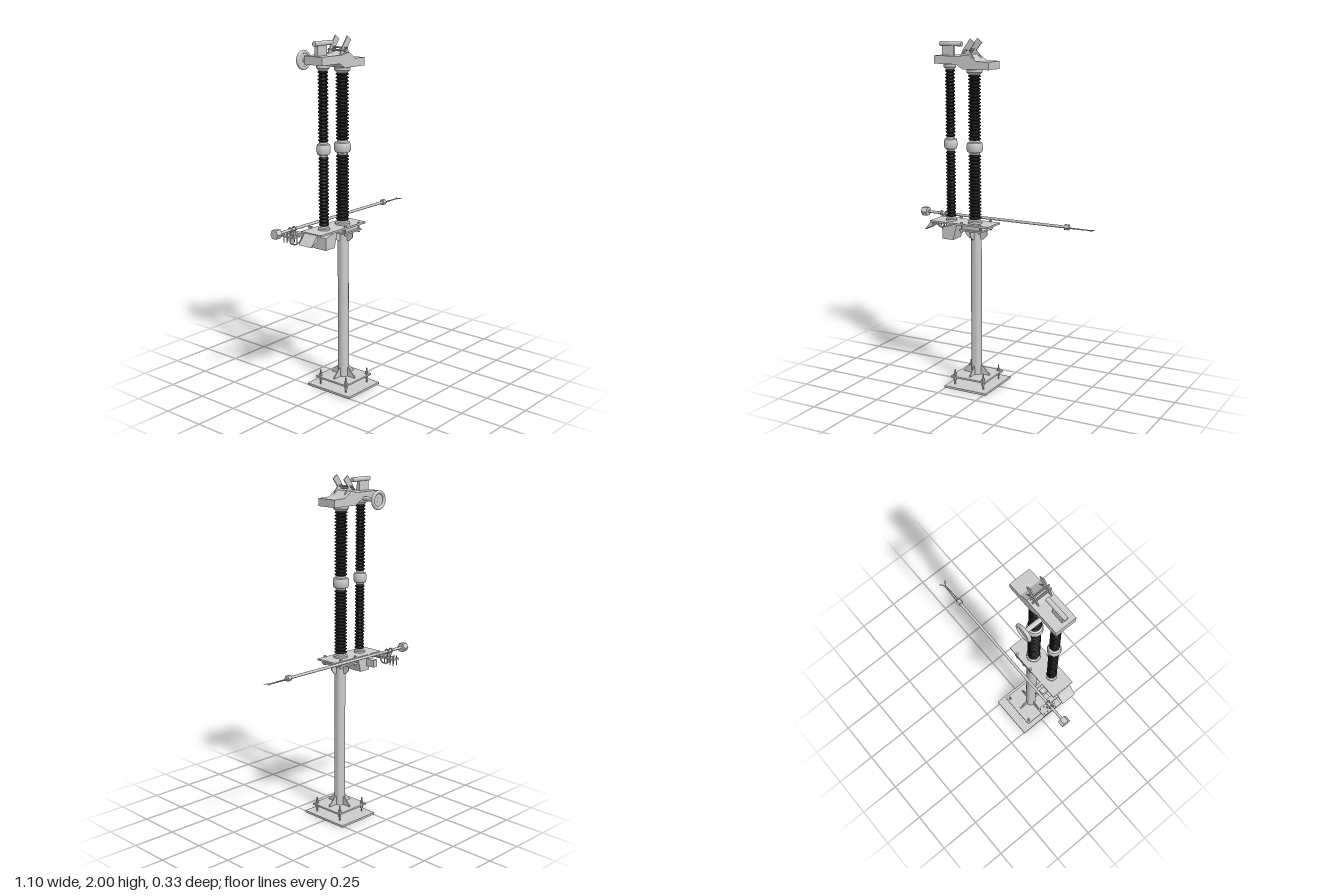
import * as THREE from 'three';
import { toCreasedNormals } from 'three/addons/utils/BufferGeometryUtils.js';

const grey = new THREE.MeshStandardMaterial({ color: 0xcccccc, side: THREE.DoubleSide });
const dark = new THREE.MeshStandardMaterial({ color: 0x1a1a1a, side: THREE.DoubleSide });
const CX = -0.124, CZ = 0.014; // column axis

export function createModel() {
  const root = new THREE.Group();

  function add(name, geo, x = 0, y = 0, z = 0, mat = grey) {
    const m = new THREE.Mesh(geo, mat);
    m.name = name;
    m.position.set(x, y, z);
    root.add(m);
    return m;
  }
  // box from its min and max corners
  const box = (name, x0, x1, y0, y1, z0, z1) =>
    add(name, new THREE.BoxGeometry(x1 - x0, y1 - y0, z1 - z0), (x0 + x1) / 2, (y0 + y1) / 2, (z0 + z1) / 2);
  // cylinder of length len centred at x, y, z along an axis
  function rod(name, r, len, x, y, z, axis = 'y', sides = 16, r2 = r) {
    const g = new THREE.CylinderGeometry(r2, r, len, sides);
    if (axis === 'x') g.rotateZ(-Math.PI / 2);
    if (axis === 'z') g.rotateX(Math.PI / 2);
    return add(name, toCreasedNormals(g, 0.7), x, y, z);
  }
  function lathe(name, pts, x, y, z, mat = grey, seg = 20) {
    const g = new THREE.LatheGeometry(pts.map(p => new THREE.Vector2(p[0], p[1])), seg);
    return add(name, toCreasedNormals(g, 0.6), x, y, z, mat);
  }
  // outline in x, y extruded between z0 and z1
  function slab(name, pts, z0, z1) {
    const s = new THREE.Shape(pts.map(p => new THREE.Vector2(p[0], p[1])));
    return add(name, new THREE.ExtrudeGeometry(s, { depth: z1 - z0, bevelEnabled: false }), 0, 0, z0);
  }
  // four triangular ribs around the column
  function gussets(name, pts) {
    for (let i = 0; i < 4; i++) {
      const g = slab(name, pts, -0.003, 0.003);
      g.geometry.translate(0, 0, -0.003);
      g.position.set(CX, 0, CZ);
      g.rotation.y = i * Math.PI / 2;
    }
  }

  // foot
  box('basePlate', -0.255, 0.015, 0, 0.012, -0.146, 0.164);
  box('footFlange', -0.235, -0.01, 0.054, 0.064, -0.098, 0.125);
  for (const x of [-0.216, -0.03]) for (const z of [-0.08, 0.109]) {
    rod('anchorBolt', 0.004, 0.09, x, 0.055, z, 'y', 8);
    rod('anchorNutLower', 0.009, 0.02, x, 0.044, z, 'y', 6);
    rod('anchorNutUpper', 0.009, 0.016, x, 0.072, z, 'y', 6, 0.007);
    rod('anchorWasher', 0.011, 0.003, x, 0.0655, z, 'y', 12);
  }
  gussets('footGusset', [[0.028, 0.064], [0.085, 0.064], [0.085, 0.07], [0.04, 0.115], [0.028, 0.115]]);

  // column and head bracket
  rod('column', 0.031, 0.87, CX, 0.495, CZ, 'y', 24);
  gussets('headGusset', [[0.028, 0.875], [0.045, 0.875], [0.07, 0.9], [0.07, 0.93], [0.028, 0.93]]);
  box('columnHeadPlate', -0.195, -0.053, 0.927, 0.936, -0.056, 0.088);
  for (const z of [-0.04, 0.06]) box('headSpacer', -0.187, -0.06, 0.936, 0.957, z, z + 0.012);
  for (const x of [-0.182, -0.066]) for (const z of [-0.05, 0.079]) {
    rod('platformBolt', 0.004, 0.06, x, 0.947, z, 'y', 8);
    rod('platformNut', 0.008, 0.008, x, 0.923, z, 'y', 6);
    rod('platformNut', 0.008, 0.008, x, 0.97, z, 'y', 6);
  }

  // platform carrying the insulators
  box('platform', -0.39, -0.01, 0.956, 0.966, -0.058, 0.082);

  // drive housing below the platform, with an open end bracket
  slab('driveHousing', [[-0.322, 0.862], [-0.25, 0.862], [-0.225, 0.956], [-0.322, 0.93]], -0.03, 0.06);
  slab('endHood', [[-0.44, 0.905], [-0.432, 0.905], [-0.385, 0.95], [-0.385, 0.962], [-0.392, 0.962]], -0.03, 0.06);
  for (const z of [-0.03, 0.056])
    slab('hoodCheek', [[-0.44, 0.905], [-0.385, 0.93], [-0.385, 0.962], [-0.392, 0.962]], z, z + 0.004);

  // insulator columns: two shed stacks with a joint between
  function insulator(name, x, r, y0, y1, y2, y3, ballR) {
    const z = 0.016;
    for (const [a, b] of [[y0, y1], [y2, y3]]) {
      const n = 20, p = (b - a) / n, pts = [[0, a]];
      for (let i = 0; i < n; i++) {
        const y = a + i * p;
        pts.push([r * 0.72, y], [r, y + p * 0.35], [r, y + p * 0.5], [r * 0.72, y + p * 0.9]);
      }
      pts.push([0, b]);
      lathe(name + 'Sheds', pts, x, 0, z, dark);
    }
    const m = (y1 + y2) / 2, h = (y2 - y1) / 2;
    lathe(name + 'Joint', [[0, -h], [r * 0.8, -h], [r * 0.85, -h * 0.75], [ballR * 0.9, -h * 0.65], [ballR, -h * 0.3],
      [ballR, h * 0.3], [ballR * 0.9, h * 0.65], [r * 0.85, h * 0.75], [r * 0.8, h], [0, h]], x, m, z);
    lathe(name + 'Foot', [[0, 0.966], [r * 1.15, 0.966], [r * 1.15, 0.976], [r * 0.85, 0.98], [r * 0.8, y0 + 0.004], [0, y0 + 0.004]], x, 0, z);
    lathe(name + 'Cap', [[0, y3 - 0.003], [r * 0.85, y3 - 0.003], [r * 1.25, y3 + 0.012], [r * 1.25, y3 + 0.025],
      [r * 0.9, y3 + 0.036], [0, y3 + 0.036]], x, 0, z);
  }
  insulator('mainInsulator', -0.13, 0.036, 0.988, 1.36, 1.44, 1.806, 0.046);
  insulator('driveInsulator', -0.286, 0.028, 0.988, 1.37, 1.45, 1.83, 0.038);

  // live head: stepped terminal body
  slab('headBody', [[-0.355, 1.86], [-0.215, 1.86], [-0.175, 1.835], [-0.01, 1.835], [-0.01, 1.878],
    [-0.09, 1.88], [-0.14, 1.915], [-0.195, 1.905], [-0.355, 1.905]], -0.053, 0.073);
  slab('headPost', [[-0.333, 1.905], [-0.26, 1.905], [-0.26, 1.958], [-0.333, 1.958]], 0.002, 0.022);
  rod('headBar', 0.013, 0.138, -0.28, 1.968, 0.012, 'x');
  for (const z of [-0.03, 0.052])
    slab('hornPlate', [[-0.205, 1.89], [-0.1, 1.885], [-0.14, 1.935], [-0.105, 1.978], [-0.135, 2.0],
      [-0.172, 1.95]], z, z + 0.006);
  rod('hornPin', 0.006, 0.12, -0.17, 1.925, 0.014, 'z', 10);
  rod('hornPin', 0.005, 0.12, -0.155, 1.938, 0.014, 'z', 10);

  // side terminal with ring
  rod('terminalStub', 0.013, 0.11, -0.243, 1.867, -0.105, 'z');
  add('terminalRing', new THREE.TorusGeometry(0.044, 0.01, 12, 32), -0.243, 1.867, -0.159);
  rod('terminalDisc', 0.042, 0.006, -0.243, 1.867, -0.156, 'z', 32);

  // swinging earth rod
  const ry = 0.972, rz = -0.105;
  rod('earthRod', 0.008, 0.93, -0.075, ry, rz, 'x');
  rod('counterweight', 0.028, 0.036, -0.533, ry, rz, 'x', 6);
  rod('rodClamp', 0.017, 0.026, 0.387, ry, rz, 'x', 6);
  for (const s of [-1, 1]) {
    const path = new THREE.CatmullRomCurve3([[0.39, 0.006], [0.45, 0.005], [0.525, 0.004], [0.533, 0.008], [0.546, 0.02]]
      .map(([x, d]) => new THREE.Vector3(x, ry - 0.004, rz + s * d)));
    add('contactProng', new THREE.TubeGeometry(path, 16, 0.0025, 6));
  }

  // rod pivot bracket, bolts and flexible lead
  box('pivotPlate', -0.435, -0.382, 0.928, 0.936, -0.163, -0.075);
  box('pivotUpright', -0.414, -0.404, 0.936, 0.968, -0.12, -0.09);
  for (const x of [-0.425, -0.393]) {
    const g = new THREE.TorusGeometry(0.012, 0.004, 8, 16).rotateY(Math.PI / 2);
    add('pivotStrap', g, x, ry, rz);
    for (const z of [-0.153, -0.13, -0.105, -0.085]) rod('pivotBolt', 0.003, 0.055, x, 0.922, z, 'y', 6);
  }
  const lead = new THREE.CatmullRomCurve3([[-0.43, 0.93, -0.1], [-0.44, 0.905, -0.09], [-0.41, 0.892, -0.08],
    [-0.388, 0.905, -0.07], [-0.385, 0.94, -0.055]].map(p => new THREE.Vector3(...p)));
  add('flexibleLead', new THREE.TubeGeometry(lead, 20, 0.004, 6));
  box('bracketArm', -0.402, -0.372, 0.94, 0.956, -0.1, -0.03);
  box('rodLink', -0.292, -0.276, 0.956, 0.966, -0.098, -0.05);
  box('lowerArm', -0.33, -0.3, 0.888, 0.93, -0.085, -0.03);
  return root;
}
